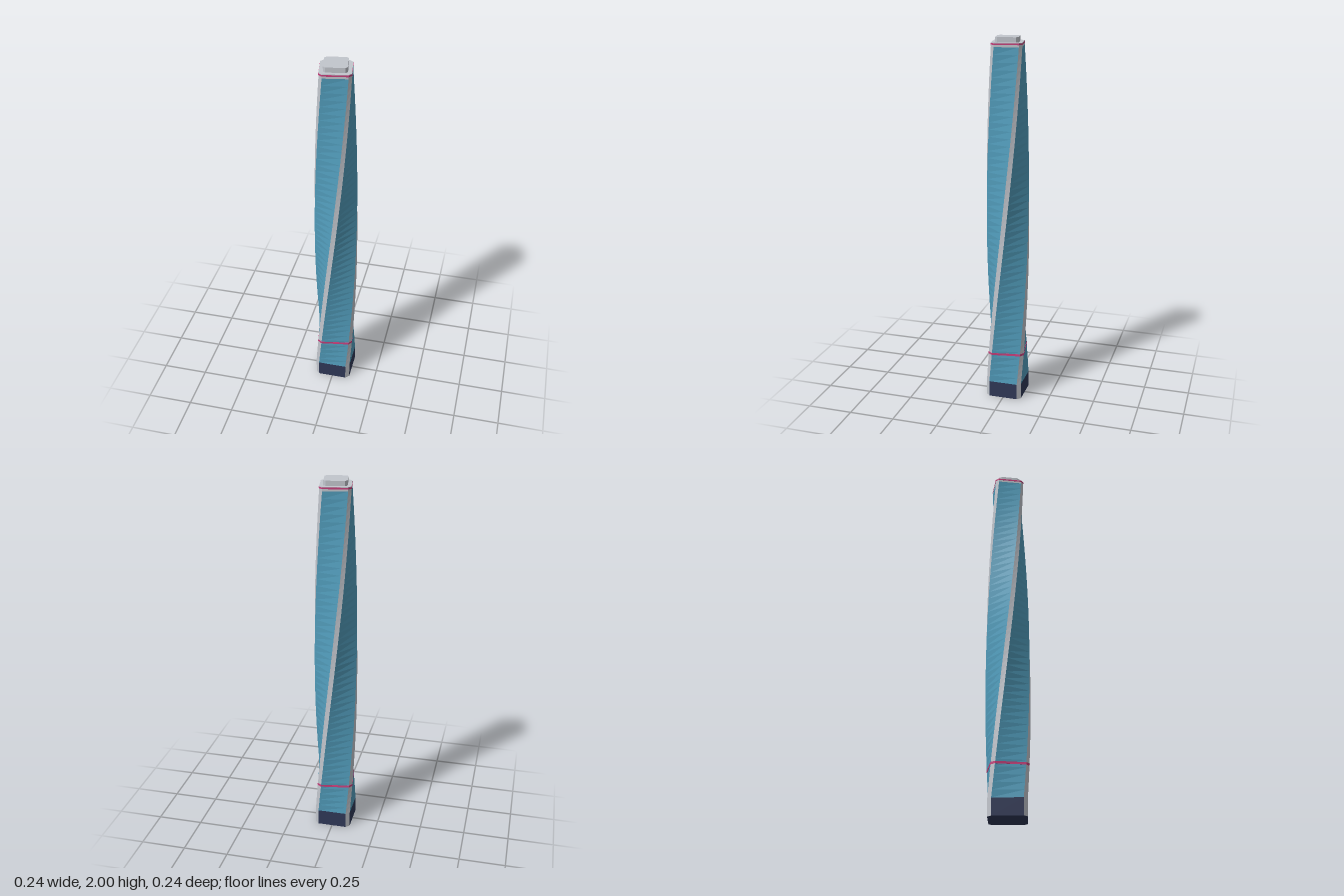
import * as THREE from 'three';

const flat = (name, color) => {
  const m = new THREE.MeshStandardMaterial({ color, flatShading: true });
  m.name = name;
  return m;
};

// The tower rises straight through the podium, then twists and tapers.
const PODIUM = 0.09, ROOF = 1.952, TWIST = THREE.MathUtils.degToRad(100);
const progress = (y) => THREE.MathUtils.clamp((y - PODIUM) / (ROOF - PODIUM), 0, 1);
const halfWidth = (y) => 0.1 - 0.02 * progress(y);

// Chamfered square section at height y; even edges are walls, odd edges are corners.
function section(y, h) {
  const c = h * 0.8, t = TWIST * progress(y);
  const cos = Math.cos(t), sin = Math.sin(t);
  return [[-c, h], [c, h], [h, c], [h, -c], [c, -h], [-c, -h], [-h, -c], [-h, c]]
    .map(([x, z]) => [x * cos + z * sin, y, z * cos - x * sin]);
}

// Lofted storey with wall, corner and cap material groups.
function loft(name, y0, y1, steps, wall, corner, cap, half = halfWidth) {
  const pos = [], walls = [], corners = [], caps = [];
  for (let k = 0; k <= steps; k++) {
    const y = y0 + (y1 - y0) * k / steps;
    pos.push(...section(y, half(y)).flat());
  }
  for (let k = 0; k < steps; k++) {
    for (let i = 0; i < 8; i++) {
      const a = k * 8 + i, b = k * 8 + (i + 1) % 8;
      (i % 2 ? corners : walls).push(a, b, b + 8, a, b + 8, a + 8);
    }
  }
  if (cap) {
    const top = steps * 8;
    for (let i = 1; i < 7; i++) caps.push(0, i + 1, i, top, top + i, top + i + 1);
  }
  const g = new THREE.BufferGeometry();
  g.setAttribute('position', new THREE.Float32BufferAttribute(pos, 3));
  g.setIndex([...walls, ...corners, ...caps]);
  g.addGroup(0, walls.length, 0);
  g.addGroup(walls.length, corners.length, 1);
  if (cap) g.addGroup(walls.length + corners.length, caps.length, 2);
  g.computeVertexNormals();
  const mesh = new THREE.Mesh(g, [wall, corner, cap || wall]);
  mesh.name = name;
  return mesh;
}

export function createModel() {
  const glass = flat('blue glass', 0x529dbc);
  const metal = flat('pale metal', 0xc2c6cd);
  const navy = flat('dark navy', 0x2f3857);
  const pink = flat('pink light', 0xc8407c);

  const tower = new THREE.Group();
  tower.name = 'twistedTower';
  const proud = (y) => halfWidth(y) + 0.001;
  tower.add(
    loft('podium', 0, PODIUM, 1, navy, metal, navy),
    loft('twistedShaft', PODIUM, ROOF, 48, glass, metal, null),
    loft('lowerLightBand', 0.26, 0.272, 1, pink, pink, pink, proud),
    loft('roofSlab', ROOF, 1.974, 1, metal, metal, metal),
    loft('upperLightBand', 1.963, 1.971, 1, pink, pink, pink, proud),
    loft('roofBlock', 1.974, 2, 1, metal, metal, metal, () => 0.06),
  );
  return tower;
}
